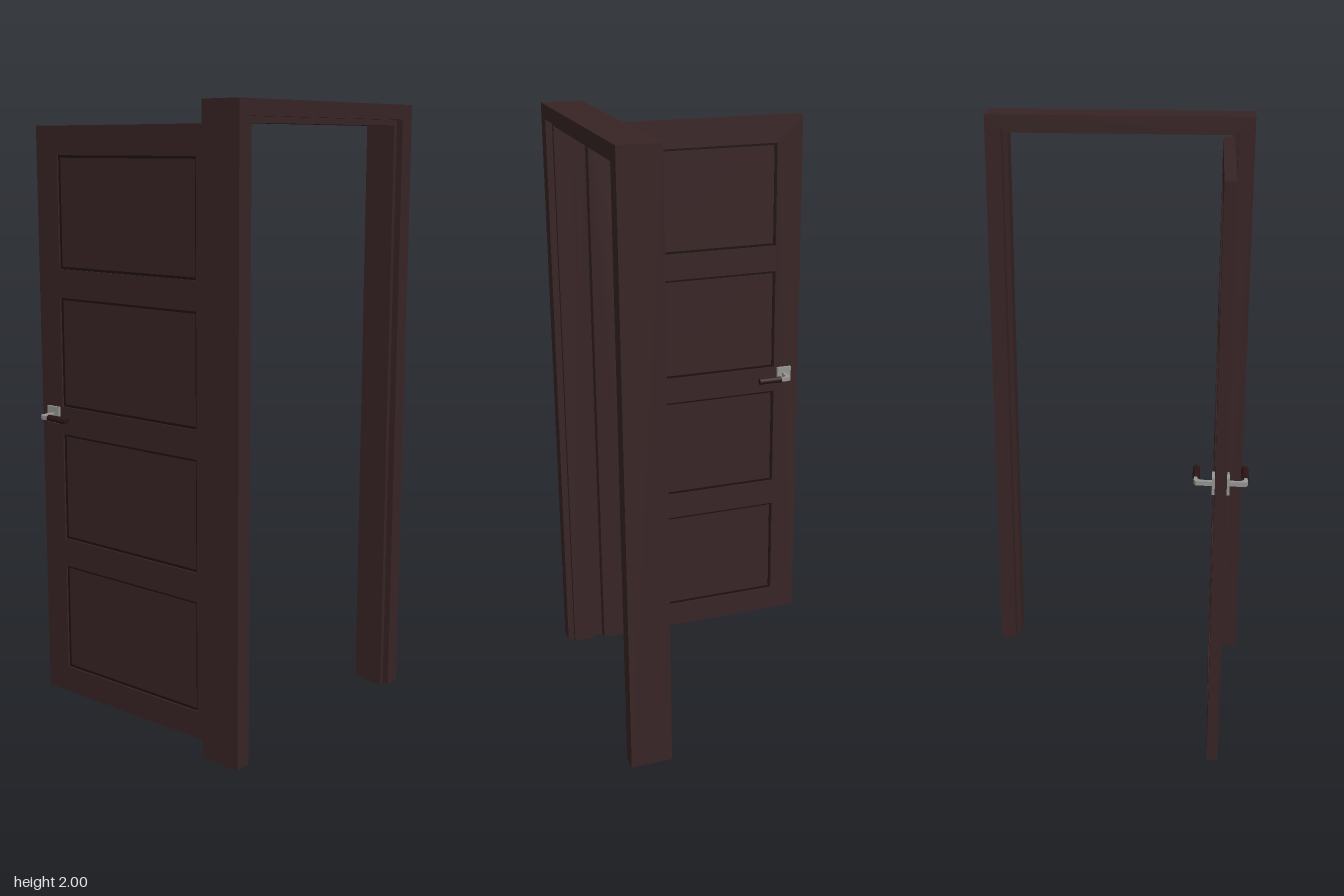
import * as THREE from 'three';

const mat = (name, color) => Object.assign(new THREE.MeshStandardMaterial({ color }), { name });

export function createModel() {
  const wood = mat('dark brown wood', 0x382425);
  const groove = mat('groove shade', 0x1c1012);
  const metal = mat('brushed metal', 0x959593);
  const grip = mat('dark grip', 0x2a1416);

  const root = new THREE.Group();
  root.name = 'openDoor';

  const add = (parent, name, geo, material) => {
    const m = new THREE.Mesh(geo, material);
    m.name = name;
    parent.add(m);
    return m;
  };
  const box = (parent, name, material, x0, x1, y0, y1, z0, z1) => {
    const m = add(parent, name, new THREE.BoxGeometry(x1 - x0, y1 - y0, z1 - z0), material);
    m.position.set((x0 + x1) / 2, (y0 + y1) / 2, (z0 + z1) / 2);
    return m;
  };
  const rect = (x0, x1, y0, y1, Kind = THREE.Shape) =>
    new Kind([[x0, y0], [x1, y0], [x1, y1], [x0, y1]].map(([x, y]) => new THREE.Vector2(x, y)));

  // Door frame: an upside-down U, extruded along x, with a narrower stop inside it
  const arch = (name, outer, top, inner, innerTop, x0, x1) => {
    const s = new THREE.Shape([
      [-outer, 0], [-inner, 0], [-inner, innerTop], [inner, innerTop],
      [inner, 0], [outer, 0], [outer, top], [-outer, top],
    ].map(([a, b]) => new THREE.Vector2(a, b)));
    const geo = new THREE.ExtrudeGeometry(s, { depth: x1 - x0, bevelEnabled: false });
    geo.rotateY(Math.PI / 2).translate(x0, 0, 0);
    add(root, name, geo, wood);
  };
  arch('doorFrame', 0.453, 2, 0.398, 1.952, 0.31, 0.447);
  arch('doorStop', 0.4, 1.955, 0.382, 1.933, 0.355, 0.425);

  // Door leaf: rails and stiles around four recessed panels
  const door = new THREE.Group();
  door.name = 'doorLeaf';
  root.add(door);
  const zBack = 0.347, zFront = 0.383, recess = 0.007;
  const px0 = -0.356, px1 = 0.228;
  const panels = [[0.105, 0.47], [0.565, 0.927], [1.02, 1.383], [1.476, 1.84]];

  const leaf = rect(-0.45, 0.32, 0.015, 1.933);
  panels.forEach(([a, b]) => leaf.holes.push(rect(px0, px1, a, b, THREE.Path)));
  const leafGeo = new THREE.ExtrudeGeometry(leaf, { depth: zFront - zBack, bevelEnabled: false });
  leafGeo.translate(0, 0, zBack);
  add(door, 'railsAndStiles', leafGeo, wood);

  const w = 0.008;
  panels.forEach(([a, b]) => {
    box(door, 'panel', wood, px0, px1, a, b, zBack + recess, zFront - recess);
    // Dark groove round the panel on both faces
    const ring = rect(px0, px1, a, b);
    ring.holes.push(rect(px0 + w, px1 - w, a + w, b - w, THREE.Path));
    for (const z of [zBack + recess - 0.001, zFront - recess - 0.001]) {
      const geo = new THREE.ExtrudeGeometry(ring, { depth: 0.002, bevelEnabled: false });
      add(door, 'panelGroove', geo.translate(0, 0, z), groove);
    }
  });

  // Lever handles, mirrored through the leaf
  const handle = (name, side) => {
    const h = new THREE.Group();
    h.name = name;
    h.position.set(0, 0.99, side > 0 ? zFront : zBack);
    root.add(h);
    const span = (a, b) => (side > 0 ? [a, b] : [-b, -a]);
    box(h, 'backPlate', metal, -0.42, -0.367, -0.027, 0.028, ...span(0, 0.009));

    // Bent neck, seen in plan and extruded upwards
    const plan = [[-0.399, 0.005], [-0.386, 0.005], [-0.384, 0.046], [-0.376, 0.053],
      [-0.355, 0.056], [-0.355, 0.064], [-0.385, 0.066], [-0.398, 0.06]];
    const shape = new THREE.Shape(plan.map(([x, z]) => new THREE.Vector2(x, -z * side)));
    const neck = new THREE.ExtrudeGeometry(shape, { depth: 0.014, bevelEnabled: false });
    add(h, 'neck', neck.rotateX(-Math.PI / 2).translate(0, -0.007, 0), metal);

    const bar = new THREE.CylinderGeometry(0.0115, 0.0115, 0.084, 8).rotateZ(Math.PI / 2);
    add(h, 'leverGrip', bar, grip).position.set(-0.319, 0, side * 0.058);
  };
  handle('frontHandle', 1);
  handle('backHandle', -1);

  return root;
}
